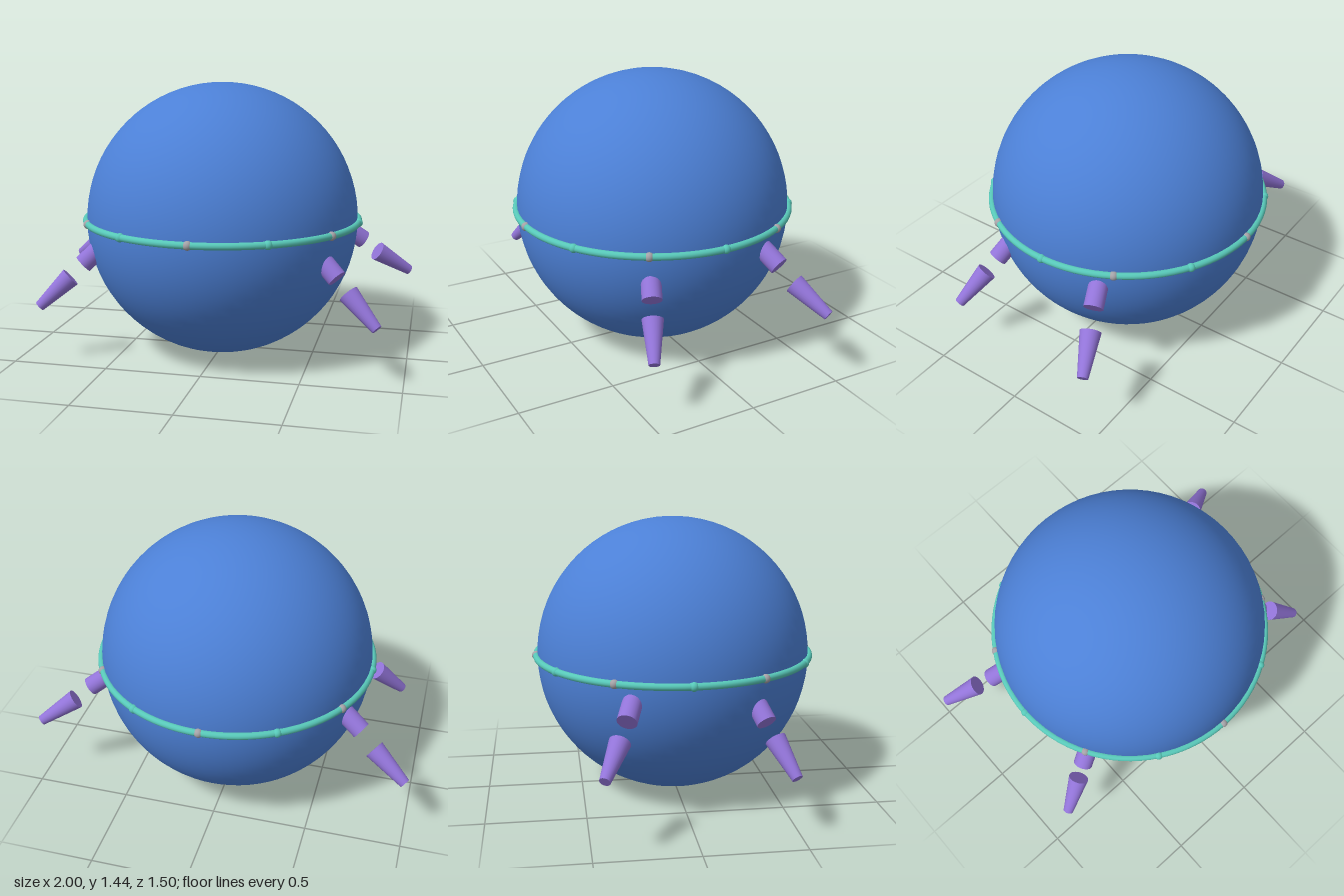
import * as THREE from 'three';

const material = (name, color) => {
  const m = new THREE.MeshStandardMaterial({ color });
  m.name = name;
  return m;
};

export function createModel() {
  const blue = material('body blue', 0x4c80d6);
  const teal = material('ring teal', 0x58c9b9);
  const grey = material('bead grey', 0xa5a3a8);
  const purple = material('leg purple', 0x9274d8);

  const model = new THREE.Group();
  model.name = 'ringedSphere';
  const centreY = 0.724;

  const add = (parent, name, geometry, mat) => {
    const mesh = new THREE.Mesh(geometry, mat);
    mesh.name = name;
    parent.add(mesh);
    return mesh;
  };

  // Spherical body
  add(model, 'body', new THREE.SphereGeometry(0.72, 64, 40), blue).position.y = centreY;

  // Equatorial ring with beads of alternating colour
  const ring = new THREE.Group();
  ring.name = 'ring';
  ring.position.y = centreY + 0.002;
  model.add(ring);
  add(ring, 'band', new THREE.TorusGeometry(0.725, 0.018, 12, 96), teal).rotation.x = Math.PI / 2;
  const beadGeometry = new THREE.SphereGeometry(0.023, 16, 12);
  for (let i = 0; i < 12; i++) {
    const a = (i * Math.PI) / 6;
    const bead = add(ring, 'bead', beadGeometry, i % 2 ? teal : grey);
    bead.position.set(0.726 * Math.sin(a), 0, 0.726 * Math.cos(a));
  }

  // Tapered cylinder running from one point to another
  const limb = (parent, name, from, to, rFrom, rTo) => {
    const axis = to.clone().sub(from);
    const mesh = add(parent, name, new THREE.CylinderGeometry(rTo, rFrom, axis.length(), 24), purple);
    mesh.position.copy(from).addScaledVector(axis, 0.5);
    mesh.quaternion.setFromUnitVectors(new THREE.Vector3(0, 1, 0), axis.normalize());
  };

  // Legs: a stub set into the body and a detached, tapering foot
  const legs = [
    { name: 'frontLeg', stub: [0.66, 0.515, 0.365], dir: [0.66, -0.66, 0.3], top: [0.72, 0.45, 0.395], tip: [0.867, 0.302, 0.468] },
    { name: 'backLeg', stub: [0.73, 0.57, -0.315], dir: [0.77, -0.55, -0.3], top: [0.807, 0.498, -0.355], tip: [0.982, 0.38, -0.438] },
  ];
  for (const spec of legs) {
    for (const side of [1, -1]) {
      const point = ([x, y, z]) => new THREE.Vector3(side * x, y, z);
      const leg = new THREE.Group();
      leg.name = spec.name;
      model.add(leg);
      const end = point(spec.stub);
      const start = end.clone().addScaledVector(point(spec.dir).normalize(), -0.22);
      limb(leg, 'stub', start, end, 0.05, 0.05);
      limb(leg, 'foot', point(spec.top), point(spec.tip), 0.053, 0.027);
    }
  }
  return model;
}
